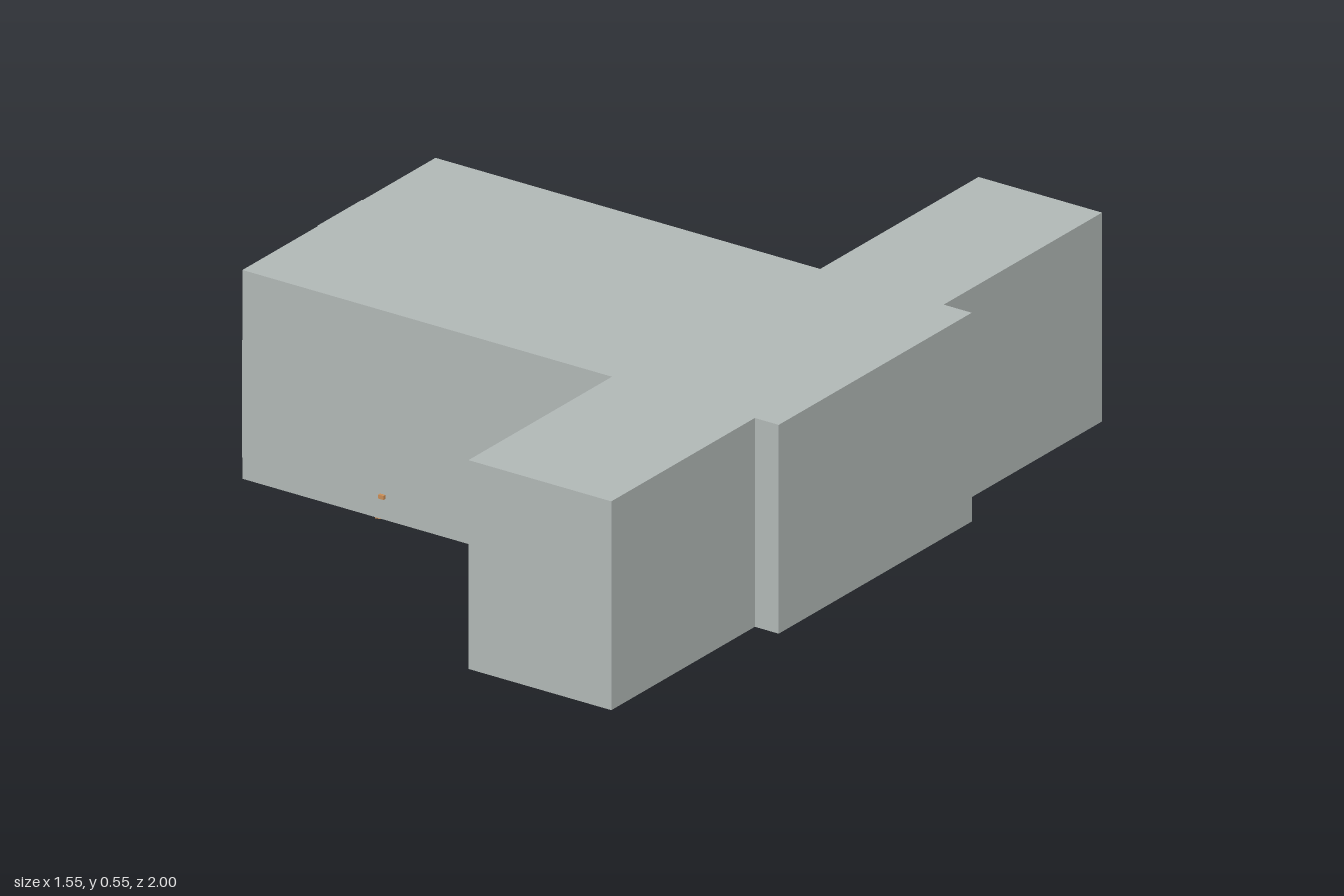
import * as THREE from 'three';

export function createModel() {
  const root = new THREE.Group();
  const material = (name, color) => {
    const mat = new THREE.MeshStandardMaterial({ color });
    mat.name = name;
    return mat;
  };
  const stone = material('grey stone', 0xb1b8b6);
  const wood = material('brown wood', 0xc98d56);
  const darkWood = material('dark wood', 0x5e3d24);

  const box = (name, mat, size, pos, turn = 0) => {
    const mesh = new THREE.Mesh(new THREE.BoxGeometry(...size), mat);
    mesh.name = name;
    mesh.position.set(...pos);
    mesh.rotation.y = turn;
    root.add(mesh);
  };

  // Building block: a hall with two wings, footprint given as x, z
  const plan = [
    [-0.753, 0.42], [0.3, 0.42], [0.3, 1], [0.707, 1], [0.707, 0.42], [0.775, 0.42],
    [0.775, -0.36], [0.695, -0.36], [0.695, -1], [0.343, -1], [0.343, -0.36], [-0.753, -0.36],
  ];
  const shape = new THREE.Shape(plan.map(([x, z]) => new THREE.Vector2(x, -z)));
  const hallGeometry = new THREE.ExtrudeGeometry(shape, { depth: 0.533, bevelEnabled: false });
  hallGeometry.rotateX(-Math.PI / 2);
  const hall = new THREE.Mesh(hallGeometry, stone);
  hall.name = 'hall';
  hall.position.y = 0.019;
  root.add(hall);

  // Door standing just off the end wall, and thin wall panels
  box('door', wood, [0.018, 0.265, 0.165], [-0.77, 0.146, 0.015]);
  box('upperWallPanel', stone, [0.008, 0.1, 0.18], [-0.754, 0.5, 0.02]);
  box('cornerWallPanel', stone, [0.008, 0.3, 0.08], [-0.754, 0.22, 0.375]);

  // Scattered planks showing under the floor: x, z, length, width, turn, lowest y
  const planks = [
    [0.66, -0.02, 0.14, 0.05, 0, 0.013], [0.5, 0.21, 0.12, 0.04, 0.49, 0.014],
    [0.345, 0.04, 0.1, 0.06, -0.82, 0.014], [-0.11, -0.185, 0.13, 0.05, -1.39, 0.014],
    [-0.455, -0.21, 0.14, 0.05, -0.61, 0.014], [-0.215, 0.205, 0.13, 0.022, -0.79, 0],
    [-0.37, 0.36, 0.1, 0.06, -1.16, 0.014], [-0.55, 0.23, 0.09, 0.014, -1.4, 0.014],
    [-0.59, 0.24, 0.09, 0.014, -1.4, 0.014], [-0.57, 0.235, 0.014, 0.04, -1.4, 0.014],
  ];
  for (const [x, z, length, width, turn, low] of planks) {
    box('plank', wood, [length, 0.012, width], [x, low + 0.006, z], turn);
  }

  // Dark ends of some planks and a loose dark strip: x, z, length, width, turn
  const darkPieces = [
    [0.365, 0.06, 0.05, 0.062, -0.82], [-0.495, -0.238, 0.045, 0.052, -0.61],
    [-0.205, 0.12, 0.07, 0.014, -0.79],
  ];
  for (const [x, z, length, width, turn] of darkPieces) {
    box('darkPlankEnd', darkWood, [length, 0.009, width], [x, 0.017, z], turn);
  }

  // Small chips under the floor, and peg ends in the long walls
  const chips = [[0.03, 0.23], [0.05, 0.295], [0.03, 0.14], [-0.26, -0.29], [0.05, -0.22], [0.1, -0.22], [-0.03, -0.15]];
  for (const [x, z] of chips) {
    box('chip', darkWood, [0.018, 0.008, 0.01], [x, 0.02, z]);
  }
  box('frontPeg', wood, [0.015, 0.01, 0.016], [-0.353, 0.078, 0.42]);
  box('backPeg', wood, [0.01, 0.008, 0.012], [-0.23, 0.1, -0.36]);
  return root;
}
